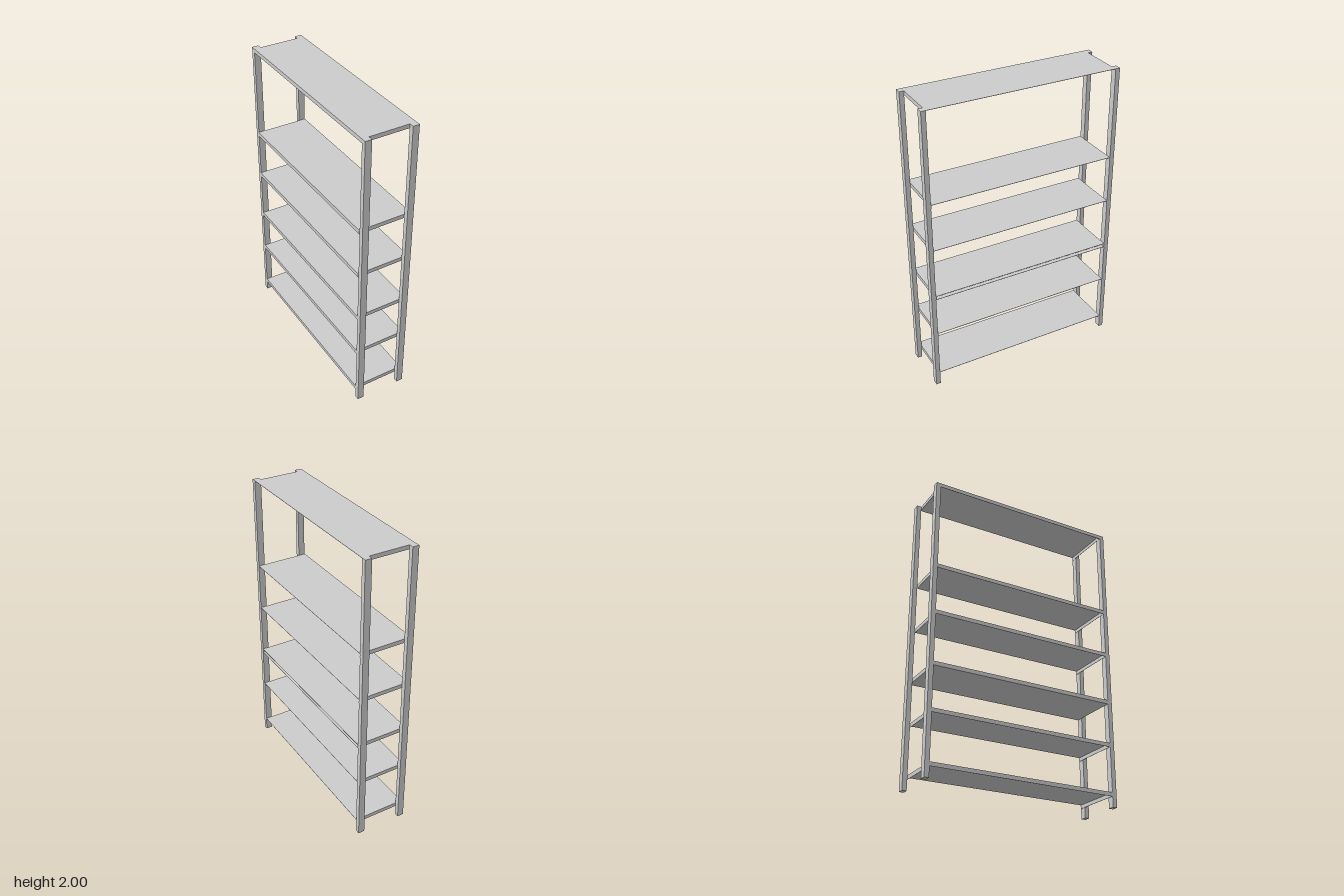
import * as THREE from 'three';

export function createModel() {
  const model = new THREE.Group();
  model.name = 'shelvingUnit';
  const material = new THREE.MeshStandardMaterial({ color: 0xcccccc, flatShading: true });

  // Box given by its minimum and maximum corners
  function box(parent, name, [x0, y0, z0], [x1, y1, z1]) {
    const mesh = new THREE.Mesh(new THREE.BoxGeometry(x1 - x0, y1 - y0, z1 - z0), material);
    mesh.position.set((x0 + x1) / 2, (y0 + y1) / 2, (z0 + z1) / 2);
    mesh.name = name;
    parent.add(mesh);
  }

  // Four corner posts
  const halfX = 0.177, halfZ = 0.666, postX = 0.044, postZ = 0.031;
  for (const sx of [-1, 1]) {
    for (const sz of [-1, 1]) {
      const post = new THREE.Mesh(new THREE.BoxGeometry(postX, 2, postZ), material);
      post.position.set(sx * (halfX - postX / 2), 1, sz * (halfZ - postZ / 2));
      post.name = (sz > 0 ? 'front' : 'back') + (sx > 0 ? 'Left' : 'Right') + 'Post';
      model.add(post);
    }
  }

  // Folded sheet shelves: a top plate with flanges on three sides, open along +x
  const sheet = 0.002, depth = 0.027, endZ = halfZ - postZ;
  const shelves = [
    { top: 0.096, overhang: 0 },
    { top: 0.423, overhang: 0 },
    { top: 0.721, overhang: 0, closed: true },
    { top: 1.064, overhang: 0.003 },
    { top: 1.389, overhang: 0.003 },
    { top: 2, overhang: 0 },
  ];
  shelves.forEach(({ top, overhang, closed }, i) => {
    const shelf = new THREE.Group();
    shelf.name = 'shelf' + (i + 1);
    const left = -halfX - overhang, bottom = top - depth;
    box(shelf, 'shelfPlate', [left, top - sheet, -endZ], [halfX, top, endZ]);
    box(shelf, 'sideFlange', [left, bottom, -endZ], [left + sheet, top - sheet, endZ]);
    box(shelf, 'frontFlange', [left + sheet, bottom, endZ - sheet], [halfX, top - sheet, endZ]);
    box(shelf, 'backFlange', [left + sheet, bottom, -endZ], [halfX, top - sheet, sheet - endZ]);
    if (closed) {
      box(shelf, 'bottomPlate', [left + sheet, bottom, sheet - endZ], [halfX, bottom + sheet, endZ - sheet]);
    }
    model.add(shelf);
  });

  return model;
}
